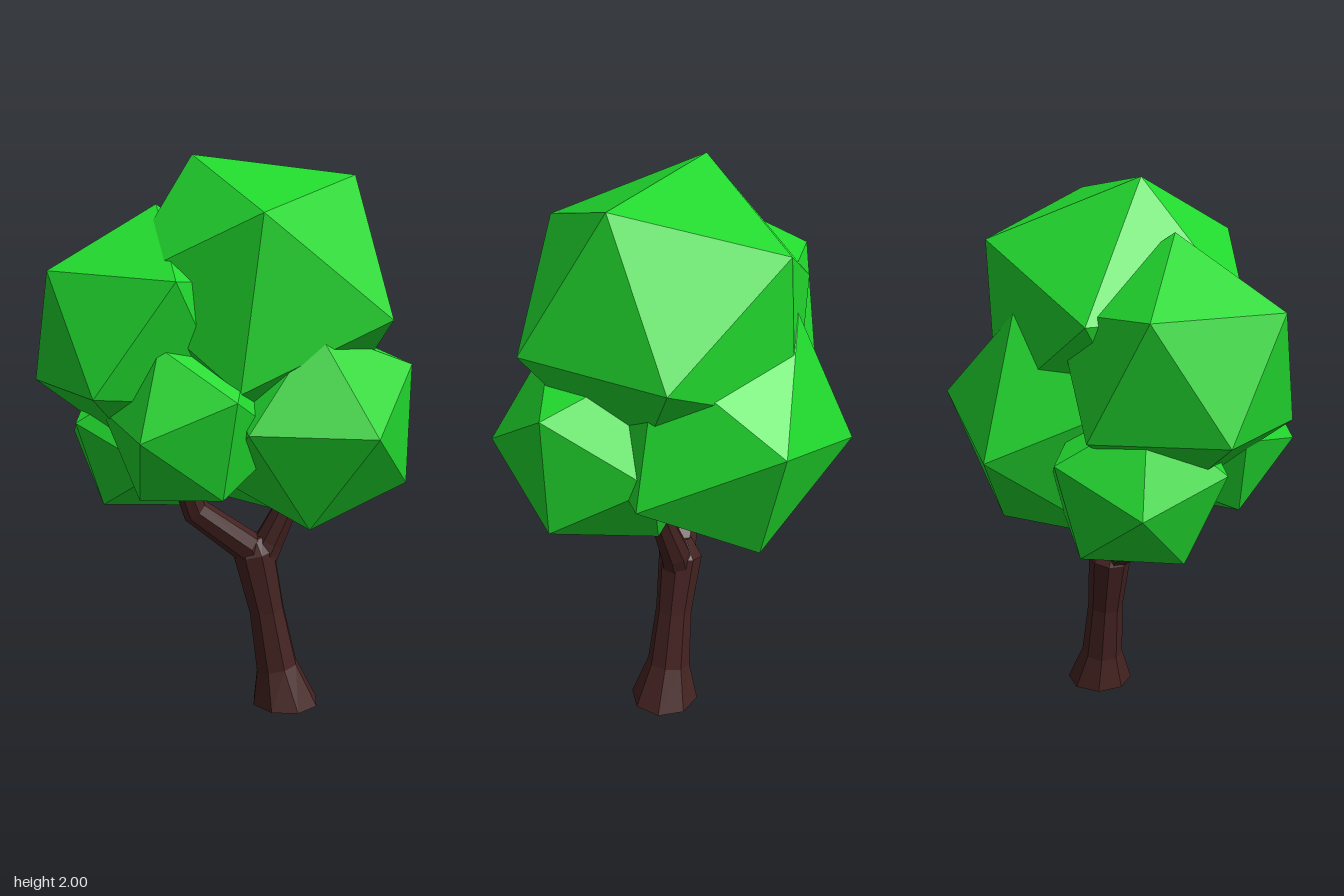
import * as THREE from 'three';

const V = (p) => new THREE.Vector3(...p);
const leafMat = new THREE.MeshStandardMaterial({ color: 0x21d92e, flatShading: true });
const barkMat = new THREE.MeshStandardMaterial({ color: 0x432220, flatShading: true });

// Faceted leaf clump: one icosahedron edge runs along `edge`, on the side facing `out`
function clump(name, centre, radius, edge, out) {
  const x = V(edge).normalize();
  const z = new THREE.Vector3().crossVectors(x, V(out)).normalize();
  const y = new THREE.Vector3().crossVectors(z, x);
  const mesh = new THREE.Mesh(new THREE.IcosahedronGeometry(radius, 0), leafMat);
  mesh.quaternion.setFromRotationMatrix(new THREE.Matrix4().makeBasis(x, y, z));
  mesh.position.set(...centre);
  mesh.name = name;
  return mesh;
}

// Eight-sided limb through sections [x, y, z, radius], capped at both ends
function limb(name, sections, flatBase = false) {
  const sides = 8, pos = [], idx = [], n = sections.length;
  const up = new THREE.Vector3(0, 1, 0);
  const centres = sections.map((s) => V(s.slice(0, 3)));
  sections.forEach((s, i) => {
    const dir = centres[Math.min(i + 1, n - 1)].clone().sub(centres[Math.max(i - 1, 0)]).normalize();
    const q = new THREE.Quaternion().setFromUnitVectors(up, flatBase && i === 0 ? up : dir);
    for (let k = 0; k < sides; k++) {
      const a = ((k + 0.5) / sides) * Math.PI * 2;
      const p = new THREE.Vector3(Math.sin(a), 0, Math.cos(a)).multiplyScalar(s[3]);
      pos.push(...p.applyQuaternion(q).add(centres[i]).toArray());
    }
  });
  for (let i = 0; i < n - 1; i++) {
    for (let k = 0; k < sides; k++) {
      const a = i * sides + k, b = i * sides + ((k + 1) % sides);
      idx.push(a, b, b + sides, a, b + sides, a + sides);
    }
  }
  const top = (n - 1) * sides;
  for (let k = 1; k < sides - 1; k++) {
    idx.push(0, k + 1, k, top, top + k, top + k + 1);
  }
  const indexed = new THREE.BufferGeometry();
  indexed.setAttribute('position', new THREE.Float32BufferAttribute(pos, 3));
  indexed.setIndex(idx);
  const geo = indexed.toNonIndexed();
  geo.computeVertexNormals();
  const mesh = new THREE.Mesh(geo, barkMat);
  mesh.name = name;
  return mesh;
}

export function createModel() {
  const tree = new THREE.Group();
  tree.name = 'tree';

  // Bent trunk with flared foot, forking into two branches
  const wood = new THREE.Group();
  wood.name = 'wood';
  wood.add(
    limb('trunk', [
      [0.24, 0, -0.02, 0.127],
      [0.207, 0.14, -0.02, 0.08],
      [0.168, 0.36, -0.02, 0.067],
      [0.12, 0.58, -0.02, 0.08],
      [0.11, 0.64, -0.01, 0.045],
    ], true),
    limb('rightBranch', [
      [0.12, 0.54, -0.02, 0.06],
      [0.09, 0.61, 0.0, 0.06],
      [-0.09, 0.76, 0.08, 0.05],
      [-0.12, 0.86, 0.1, 0.045],
    ]),
    limb('leftBranch', [
      [0.14, 0.54, -0.02, 0.06],
      [0.175, 0.62, -0.03, 0.056],
      [0.25, 0.78, -0.03, 0.043],
      [0.29, 0.88, -0.03, 0.04],
    ]),
  );
  tree.add(wood);

  // Overlapping leaf clumps
  const crown = new THREE.Group();
  crown.name = 'crown';
  crown.add(
    clump('topClump', [0.123, 1.512, 0.01], 0.537, [0.56, -0.07, 0], [0.124, 0.992, 0]),
    clump('leftClump', [0.32, 1.1, 0.15], 0.39, [1, -0.02, 0], [0, 0, 1]),
    clump('rightClump', [-0.248, 1.396, 0.08], 0.437, [0.813, -0.583, 0], [0.583, 0.813, 0]),
    clump('frontClump', [-0.075, 1.105, 0.28], 0.312, [0.917, 0.385, -0.09], [0.09, 0.2, 0.975]),
    clump('backClump', [0.115, 1.165, -0.15], 0.482, [0.49, 0.13, 0], [0, 0, -1]),
    clump('lowerRightClump', [-0.26, 1.03, -0.07], 0.33, [0.25, 0.13, -0.2], [-0.175, 0.04, -0.22]),
  );
  tree.add(crown);
  return tree;
}
